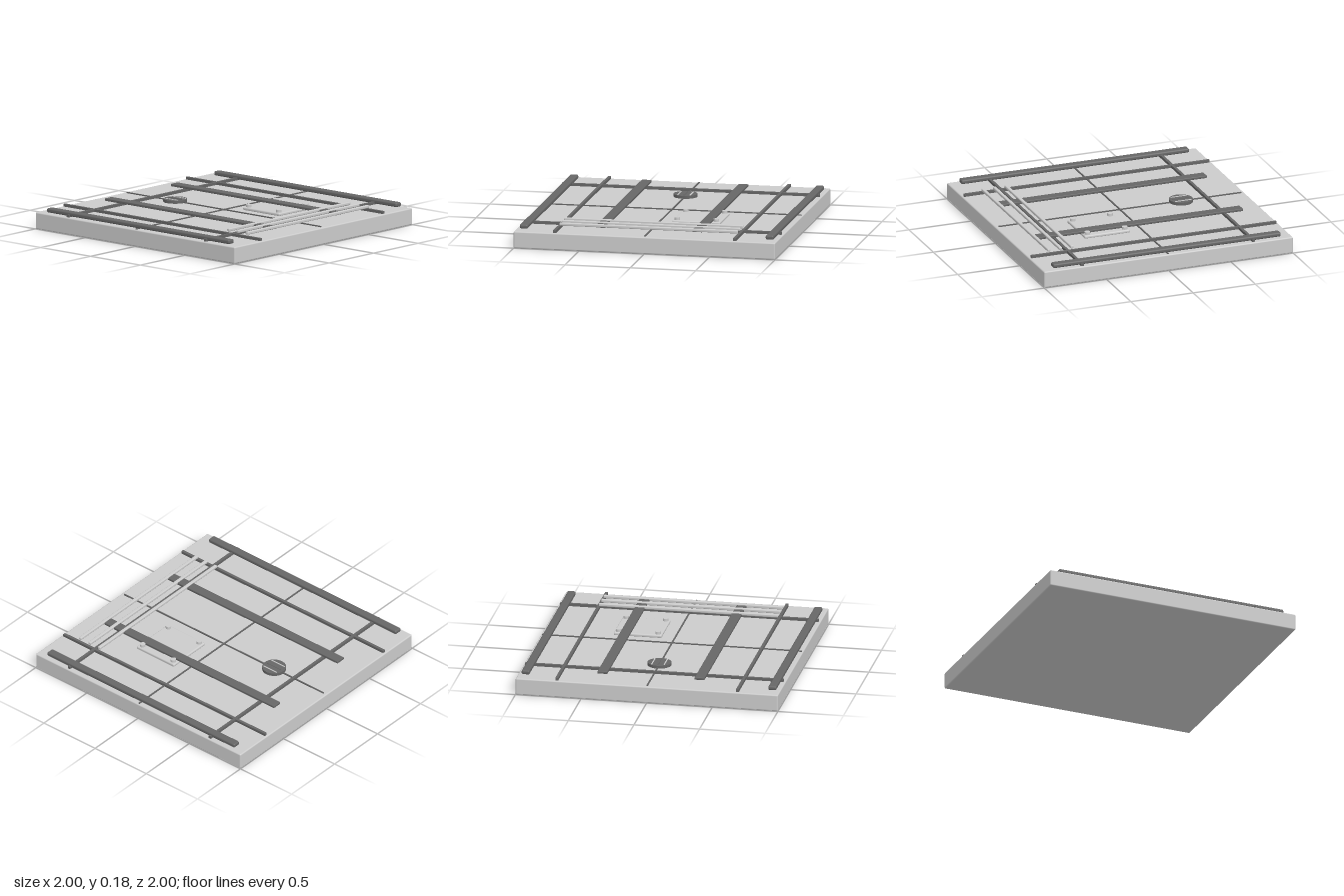
import * as THREE from 'three';
import { RoundedBoxGeometry } from 'three/addons/geometries/RoundedBoxGeometry.js';

const light = new THREE.MeshStandardMaterial({ color: 0xcccccc });
const dark = new THREE.MeshStandardMaterial({ color: 0x666666 });

export function createModel() {
  const model = new THREE.Group();

  const add = (name, geometry, material, x, y, z) => {
    const mesh = new THREE.Mesh(geometry, material);
    mesh.name = name;
    mesh.position.set(x, y, z);
    model.add(mesh);
  };
  // Boxes are given by their bottom and top heights
  const box = (name, mat, w, d, y0, y1, x, z) =>
    add(name, new THREE.BoxGeometry(w, y1 - y0, d), mat, x, (y0 + y1) / 2, z);
  const rounded = (name, mat, w, d, y0, y1, x, z, r) =>
    add(name, new RoundedBoxGeometry(w, y1 - y0, d, 2, r), mat, x, (y0 + y1) / 2, z);

  // Base slab
  rounded('slab', light, 2, 2, 0, 0.128, 0, 0, 0.01);

  // Seams across the middle
  box('centreSeam', dark, 0.01, 1.95, 0.12, 0.136, 0, 0);
  box('crossSeam', dark, 1.98, 0.01, 0.12, 0.136, 0, 0);

  for (const s of [-1, 1]) {
    // Panel joint strips
    box('lengthStrip', dark, 0.022, 1.97, 0.125, 0.148, s * 0.688, 0);
    box('crossStrip', dark, 1.97, 0.022, 0.125, 0.148, 0, s * 0.688);
    // Outer edge rails and flat inner runners
    rounded('edgeRail', dark, 0.062, 1.83, 0.133, 0.166, s * 0.94, 0, 0.012);
    rounded('runner', dark, 0.076, 1.66, 0.148, 0.168, s * 0.37, 0, 0.005);
  }

  // Access plate with four bolts
  rounded('accessPlate', light, 0.366, 0.366, 0.125, 0.15, 0.282, 0.282, 0.01);
  for (const x of [0.132, 0.432]) {
    for (const z of [0.132, 0.432]) {
      add('plateBolt', new THREE.CylinderGeometry(0.021, 0.021, 0.026, 16), light, x, 0.157, z);
    }
  }

  // Round drain with slats
  add('drain', new THREE.CylinderGeometry(0.09, 0.09, 0.024, 32), dark, 0, 0.138, -0.49);
  for (const x of [-0.047, 0, 0.047]) {
    box('drainSlat', x ? light : dark, 0.008, 0.13, 0.145, 0.154, x, -0.49);
  }

  // Three raised cross bars at the front
  for (const z of [0.65, 0.743, 0.836]) {
    rounded('crossBar', light, 1.365, 0.026, 0.154, 0.177, 0, z, 0.007);
  }

  return model;
}
